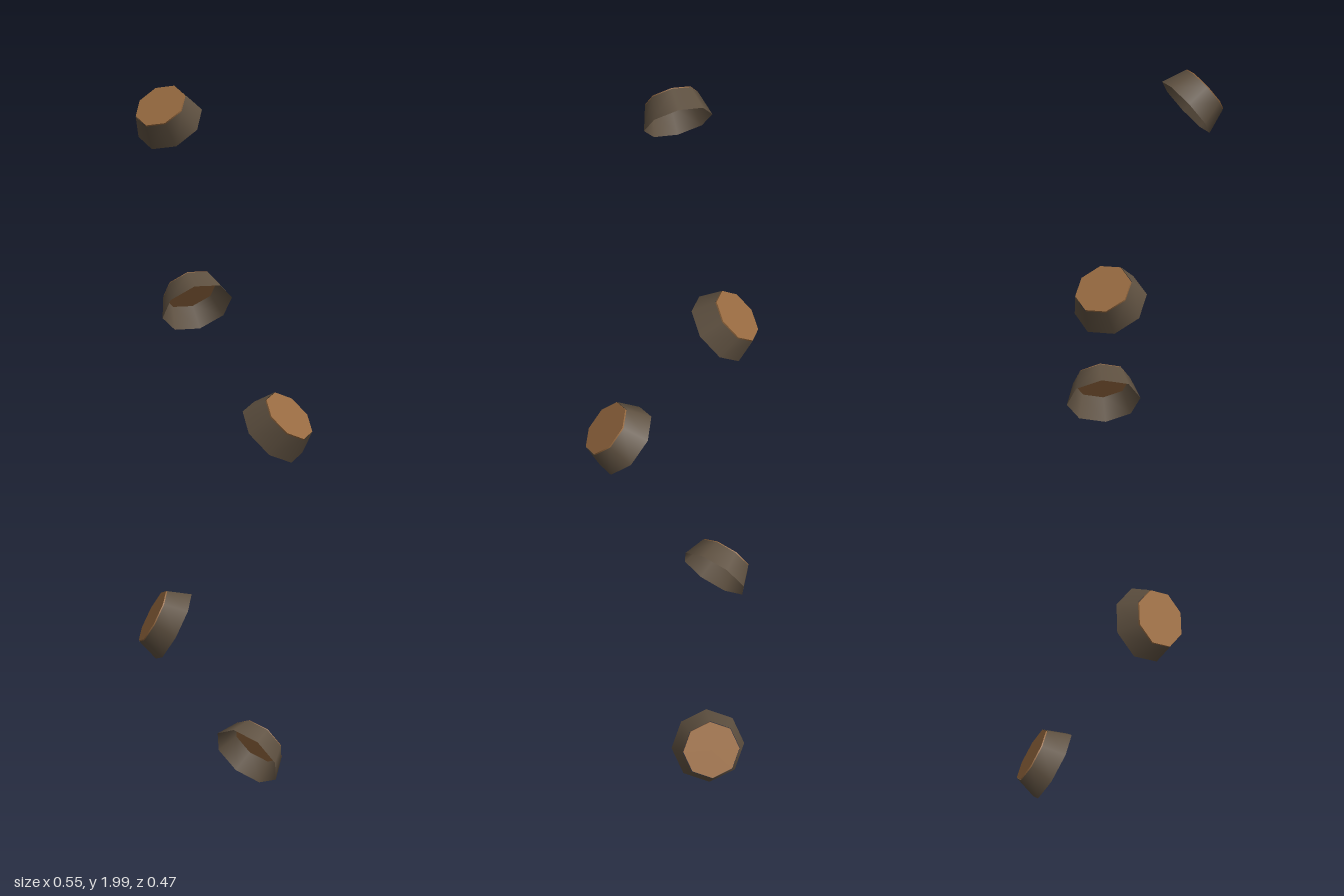
import * as THREE from 'three';

const bark = new THREE.MeshStandardMaterial({ color: 0x5e5040, side: THREE.DoubleSide });
bark.name = 'bark';
const cutWood = new THREE.MeshStandardMaterial({ color: 0x976a40 });
cutWood.name = 'cut wood';

const SIDES = 8;
const UP = new THREE.Vector3(0, 1, 0);

// Sawn-off branch: an open flared collar of bark closed by a thin disc of cut wood
function makeStub(name, base, axis, radius, height) {
  const stub = new THREE.Group();
  stub.name = name;
  const capRadius = radius * 0.78;

  const collar = new THREE.Mesh(
    new THREE.CylinderGeometry(capRadius, radius, height, SIDES, 1, true), bark);
  collar.name = 'barkCollar';
  collar.position.y = height / 2;

  const cap = new THREE.Mesh(
    new THREE.CylinderGeometry(capRadius * 0.98, capRadius * 0.98, 0.006, SIDES), cutWood);
  cap.name = 'cutFace';
  cap.position.y = height;

  stub.add(collar, cap);
  stub.position.set(...base);
  stub.quaternion.setFromUnitVectors(UP, new THREE.Vector3(...axis).normalize());
  return stub;
}

export function createModel() {
  const model = new THREE.Group();
  model.name = 'branchStubs';
  // Name, centre of the open base, outward axis, base radius, height
  const stubs = [
    ['lowestStub', [0.175, 0.1, -0.08], [0.86, 0.51, -0.03], 0.106, 0.064],
    ['lowerStub', [-0.078, 0.526, -0.127], [-0.65, 0.48, -0.6], 0.104, 0.064],
    ['middleStub', [0.035, 1.086, 0.133], [0.09, 0.68, 0.73], 0.102, 0.07],
    ['upperStub', [0.012, 1.403, -0.118], [0.28, 0.7, -0.66], 0.099, 0.066],
    ['topStub', [-0.182, 1.905, -0.034], [-0.72, 0.67, 0.17], 0.09, 0.066],
  ];
  for (const s of stubs) model.add(makeStub(...s));
  return model;
}
